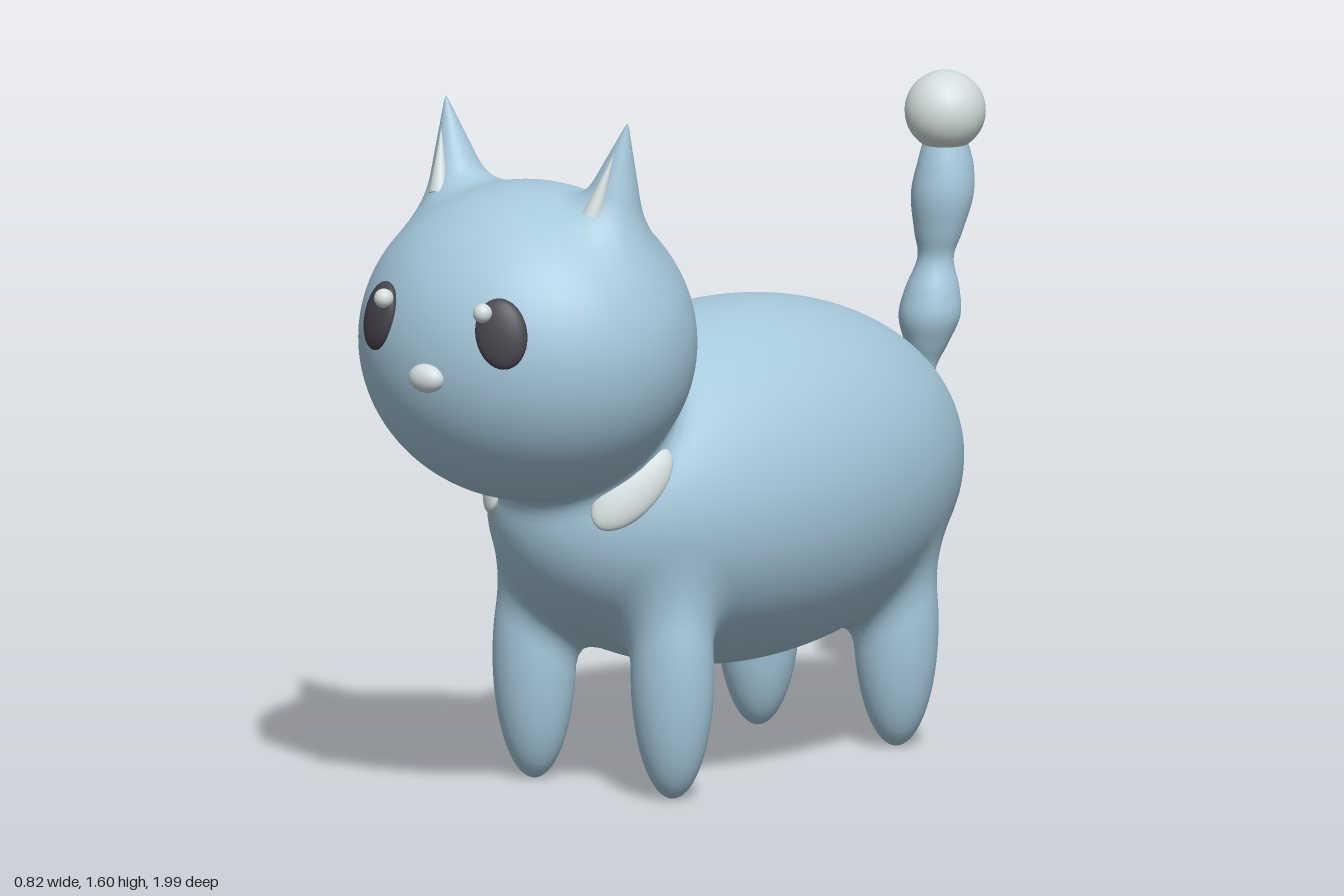
import * as THREE from 'three';

const V = (x, y, z) => new THREE.Vector3(x, y, z);
const material = (name, color) => {
  const m = new THREE.MeshStandardMaterial({ color });
  m.name = name;
  return m;
};

// Soft volumes that melt into one another
const ellipsoid = (name, c, r, blend) => ({
  name, blend,
  dist(p) {
    const x = (p.x - c.x) / r.x, y = (p.y - c.y) / r.y, z = (p.z - c.z) / r.z;
    const k0 = Math.hypot(x, y, z);
    return k0 * (k0 - 1) / (Math.hypot(x / r.x, y / r.y, z / r.z) + 1e-9);
  },
  geometry: (w, h) => new THREE.SphereGeometry(1, w, h).scale(r.x, r.y, r.z).translate(c.x, c.y, c.z),
});

function coneBetween(a, b, radius, w, h, open) {
  const d = b.clone().sub(a);
  const g = new THREE.ConeGeometry(radius, d.length(), w, h, open);
  g.applyQuaternion(new THREE.Quaternion().setFromUnitVectors(V(0, 1, 0), d.clone().normalize()));
  const mid = a.clone().add(b).multiplyScalar(0.5);
  return g.translate(mid.x, mid.y, mid.z);
}

const horn = (name, a, b, radius, blend) => {
  const ab = b.clone().sub(a);
  return {
    name, blend,
    dist(p) {
      const t = THREE.MathUtils.clamp(p.clone().sub(a).dot(ab) / ab.lengthSq(), 0, 1);
      return p.distanceTo(a.clone().addScaledVector(ab, t)) - radius * (1 - t) - 0.002 * t;
    },
    geometry: (w, h) => coneBetween(a, b, radius, w, h, true),
  };
};

const volumes = [
  ellipsoid('body', V(0, 0.647, -0.115), V(0.412, 0.412, 0.69), 0),
  ellipsoid('head', V(0, 1.073, 0.597), V(0.395, 0.363, 0.363), 0.07),
  ellipsoid('tailRoot', V(0, 0.71, -0.79), V(0.06, 0.072, 0.075), 0.07),
];
for (const [side, s] of [['left', 1], ['right', -1]]) {
  volumes.push(
    ellipsoid(side + 'FrontLeg', V(0.2 * s, 0.285, 0.325), V(0.097, 0.283, 0.09), 0.07),
    ellipsoid(side + 'HindLeg', V(0.2 * s, 0.285, -0.48), V(0.097, 0.283, 0.095), 0.07),
    horn(side + 'Ear', V(0.195 * s, 1.27, 0.575), V(0.263 * s, 1.597, 0.565), 0.115, 0.07),
  );
}

// Smooth union of all the volumes
function field(p) {
  let f = volumes[0].dist(p);
  for (let i = 1; i < volumes.length; i++) {
    const { blend } = volumes[i], d = volumes[i].dist(p);
    const h = Math.max(blend - Math.abs(f - d), 0) / blend;
    f = Math.min(f, d) - h * h * blend / 4;
  }
  return f;
}

function gradient(p) {
  const e = 0.0015, f = (x, y, z) => field(V(p.x + x, p.y + y, p.z + z));
  return V(f(e, 0, 0) - f(-e, 0, 0), f(0, e, 0) - f(0, -e, 0), f(0, 0, e) - f(0, 0, -e)).divideScalar(2 * e);
}

// Move vertices near a joint out to the smooth union, forming fillets
function melt(geometry) {
  const pos = geometry.attributes.position, normal = geometry.attributes.normal, p = V(0, 0, 0);
  for (let i = 0; i < pos.count; i++) {
    p.fromBufferAttribute(pos, i);
    if (field(p) > -0.05) {
      for (let step = 0; step < 5; step++) {
        const g = gradient(p), f = THREE.MathUtils.clamp(field(p), -0.02, 0.02);
        p.addScaledVector(g, -f / Math.max(g.lengthSq(), 0.3));
      }
      pos.setXYZ(i, p.x, p.y, p.z);
      const n = gradient(p);
      if (n.lengthSq() > 1e-4) {
        n.normalize();
        normal.setXYZ(i, n.x, n.y, n.z);
      }
    }
  }
  return geometry;
}

export function createModel() {
  const fur = material('blue fur', 0xa6c9dc);
  const pale = material('pale grey', 0xd3dddd);
  const dark = material('dark eye', 0x48454e);
  const model = new THREE.Group();
  model.name = 'cat';

  const add = (name, geometry, mat) => {
    const mesh = new THREE.Mesh(geometry, mat);
    mesh.name = name;
    model.add(mesh);
    return mesh;
  };
  const ball = (name, c, r, mat) => {
    const mesh = add(name, new THREE.SphereGeometry(1, 32, 24), mat);
    mesh.position.copy(c);
    mesh.scale.copy(r);
    return mesh;
  };

  // Body, head, legs and ears
  for (const v of volumes) {
    const big = v.name === 'body' || v.name === 'head';
    add(v.name, melt(big ? v.geometry(112, 80) : v.geometry(40, 36)), fur);
  }

  // Beaded tail, leaning back as it rises
  const knots = [[0.03, 0.7], [0.027, 0.79], [0.05, 0.85], [0.07, 0.91], [0.062, 0.97], [0.041, 1.04],
    [0.055, 1.1], [0.071, 1.18], [0.064, 1.25], [0.045, 1.32]];
  const profile = new THREE.SplineCurve(knots.map(([r, y]) => new THREE.Vector2(r, y))).getPoints(48);
  const tail = new THREE.LatheGeometry(profile, 32);
  const tp = tail.attributes.position;
  for (let i = 0; i < tp.count; i++) {
    const t = (tp.getY(i) - 0.75) / 0.5;
    tp.setZ(i, tp.getZ(i) - 0.822 - 0.085 * Math.min(t, 1));
  }
  add('tail', tail, fur);
  ball('tailBall', V(0, 1.373, -0.906), V(0.092, 0.092, 0.092), pale);

  // Nose
  ball('nose', V(0, 1.04, 0.962), V(0.046, 0.033, 0.03), pale);

  for (const [side, s] of [['left', 1], ['right', -1]]) {
    // Eyes with highlights
    const eye = ball(side + 'Eye', V(0.175 * s, 1.155, 0.91), V(0.06, 0.081, 0.026), dark);
    eye.rotation.set(-0.18, 0.45 * s, 0.2 * s, 'YXZ');
    ball(side + 'EyeHighlight', V(0.143 * s, 1.203, 0.938), V(0.022, 0.022, 0.022), pale);

    // Inner ears
    add(side + 'InnerEar', coneBetween(V(0.222 * s, 1.39, 0.64), V(0.25 * s, 1.53, 0.598), 0.024, 24, 4, false), pale);

    // Pale patches at the sides of the neck, lying along the chest
    const patch = ball(side + 'NeckPatch', V(0.193 * s, 0.735, 0.462), V(0.062, 0.12, 0.028), pale);
    const up = V(0.08 * s, 0.16, -0.15).normalize();
    const out = V(1.16 * s, 0.54, 1.21).normalize();
    const across = up.clone().cross(out).normalize();
    patch.quaternion.setFromRotationMatrix(new THREE.Matrix4().makeBasis(across, up, across.clone().cross(up)));
  }
  return model;
}
